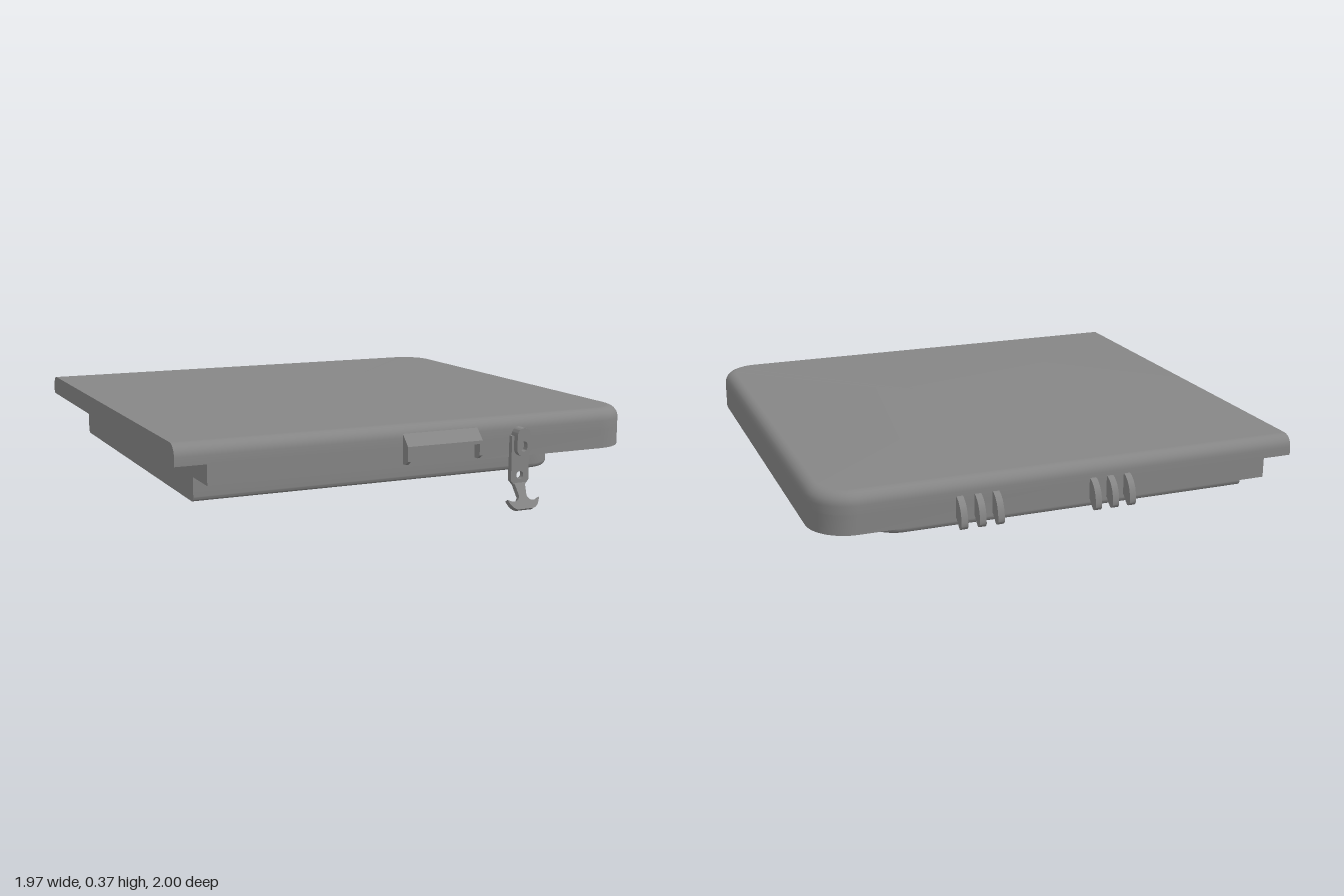
import * as THREE from 'three';
import { toCreasedNormals } from 'three/addons/utils/BufferGeometryUtils.js';

const material = new THREE.MeshStandardMaterial({ color: 0x868686, side: THREE.DoubleSide });

function part(name, geometry, parent) {
  const mesh = new THREE.Mesh(toCreasedNormals(geometry, 0.6), material);
  mesh.name = name;
  parent.add(mesh);
  return mesh;
}

// Plan outline: straight cut at x0, rounded corners at x1, shrunk by inset
function outline(x0, x1, zBack, zFront, r, inset) {
  const pts = [[x0, zFront - inset]];
  const steps = 8;
  for (const [cz, start] of [[zFront - r, Math.PI / 2], [zBack + r, 0]]) {
    for (let i = 0; i <= steps; i++) {
      const a = start - (i / steps) * Math.PI / 2;
      pts.push([x1 - r + (r - inset) * Math.cos(a), cz + (r - inset) * Math.sin(a)]);
    }
  }
  pts.push([x0, zBack + inset]);
  return pts;
}

// Stack of plan outlines; rings are [y, inset] from bottom to top
function loft(x0, x1, zBack, zFront, r, rings) {
  const pos = [], idx = [];
  let n = 0;
  for (const [y, inset] of rings) {
    const pts = outline(x0, x1, zBack, zFront, r, inset);
    n = pts.length;
    for (const [x, z] of pts) pos.push(x, y, z);
  }
  for (let k = 0; k < rings.length - 1; k++) {
    for (let i = 0; i < n; i++) {
      const a = k * n + i, b = k * n + (i + 1) % n;
      idx.push(a, b, b + n, a, b + n, a + n);
    }
  }
  const cx = (x0 + x1) / 2, cz = (zBack + zFront) / 2;
  const low = pos.length / 3, high = low + 1, last = (rings.length - 1) * n;
  pos.push(cx, rings[0][0], cz, cx, rings[rings.length - 1][0], cz);
  for (let i = 0; i < n; i++) {
    const j = (i + 1) % n;
    idx.push(low, j, i, high, last + i, last + j);
  }
  const g = new THREE.BufferGeometry();
  g.setAttribute('position', new THREE.Float32BufferAttribute(pos, 3));
  g.setIndex(idx);
  return g;
}

// Quarter-round rings at the top or bottom; a narrow flat ring keeps the cap shading flat
function roundRings(y, r, atTop) {
  const rings = Array.from({ length: 7 }, (_, i) => {
    const a = (i / 6) * Math.PI / 2;
    return atTop
      ? [y - r + r * Math.sin(a), r * (1 - Math.cos(a))]
      : [y + r - r * Math.cos(a), r * (1 - Math.sin(a))];
  });
  const flat = [y, r + 0.004];
  return atTop ? [...rings, flat] : [flat, ...rings];
}

function extrude(shape, depth) {
  return new THREE.ExtrudeGeometry(shape, { depth, bevelEnabled: false, curveSegments: 10 });
}

function polygon(points) {
  return new THREE.Shape(points.map(([x, y]) => new THREE.Vector2(x, y)));
}

// Side profile (z, y) extruded along x, centred on x
function sideExtrude(shape, width, x) {
  return extrude(shape, width).rotateY(-Math.PI / 2).translate(x + width / 2, 0, 0);
}

function capsule(halfWidth, y0, y1) {
  const s = new THREE.Shape();
  s.moveTo(halfWidth, y0 + halfWidth);
  s.absarc(0, y1 - halfWidth, halfWidth, 0, Math.PI, false);
  s.absarc(0, y0 + halfWidth, halfWidth, Math.PI, Math.PI * 2, false);
  return s;
}

export function createModel() {
  const model = new THREE.Group();
  model.name = 'lid';

  // Lid: overhanging top layer, shorter lower layer, inner plug
  part('lidTop', loft(-0.983, 0.983, -0.94, 0.925, 0.16, [[0.287, 0], ...roundRings(0.368, 0.048, true)]), model);
  part('lidRim', loft(-0.862, 0.983, -0.94, 0.925, 0.16, [[0.208, 0], [0.287, 0]]), model);
  part('innerPlug', loft(-0.862, 0.727, -0.775, 0.765, 0.13, [...roundRings(0.113, 0.02, false), [0.208, 0]]), model);

  // Two sets of three hinge hooks
  const hook = new THREE.Shape();
  hook.moveTo(-0.93, 0.305);
  hook.lineTo(-0.945, 0.305);
  hook.bezierCurveTo(-0.975, 0.295, -1.0, 0.26, -1.0, 0.205);
  hook.quadraticCurveTo(-0.99, 0.185, -0.975, 0.19);
  hook.quadraticCurveTo(-0.962, 0.2, -0.945, 0.22);
  hook.lineTo(-0.93, 0.22);
  const hinges = new THREE.Group();
  hinges.name = 'hinges';
  model.add(hinges);
  for (const centre of [-0.176, 0.366]) {
    for (const offset of [-0.072, 0, 0.072]) {
      part('hingeHook', sideExtrude(hook, 0.026, centre + offset), hinges);
    }
  }

  // Hooded front catch: sloping hood with a tapered leg at each end
  const catchGroup = new THREE.Group();
  catchGroup.name = 'frontCatch';
  model.add(catchGroup);
  const hood = polygon([[0.9, 0.34], [0.918, 0.34], [0.965, 0.293], [0.965, 0.28], [0.9, 0.28]]);
  part('hood', sideExtrude(hood, 0.325, 0.082), catchGroup);
  const leg = polygon([[0.91, 0.285], [0.965, 0.285], [0.965, 0.235], [0.945, 0.22], [0.91, 0.22]]);
  for (const side of [-1, 1]) {
    part('catchLeg', sideExtrude(leg, 0.013, 0.082 + side * 0.156), catchGroup);
  }

  // Hanging latch: strap, raised pivot, bent neck and anchor-shaped pull
  const latch = new THREE.Group();
  latch.name = 'latch';
  latch.position.x = 0.429;
  model.add(latch);
  const strap = polygon([[-0.025, 0.098], [0.025, 0.098], [0.04, 0.115], [0.04, 0.295], [-0.04, 0.295], [-0.04, 0.115]]);
  strap.holes.push(new THREE.Path().absarc(0, 0.136, 0.016, 0, Math.PI * 2, true));
  part('strap', extrude(strap, 0.022), latch).position.z = 0.923;
  const pivot = capsule(0.03, 0.215, 0.328);
  pivot.holes.push(capsule(0.015, 0.235, 0.275));
  part('pivot', extrude(pivot, 0.048), latch).position.z = 0.922;

  const pull = new THREE.Shape();
  pull.moveTo(-0.025, 0.003);
  pull.lineTo(-0.017, -0.06);
  pull.quadraticCurveTo(-0.03, -0.095, -0.072, -0.07);
  pull.quadraticCurveTo(-0.06, -0.108, -0.035, -0.113);
  pull.lineTo(0.035, -0.113);
  pull.quadraticCurveTo(0.06, -0.108, 0.072, -0.07);
  pull.quadraticCurveTo(0.03, -0.095, 0.017, -0.06);
  pull.lineTo(0.025, 0.003);
  const pullMesh = part('pull', extrude(pull, 0.022), latch);
  pullMesh.position.set(0, 0.1, 0.923);
  pullMesh.rotation.x = -0.5;

  return model;
}
